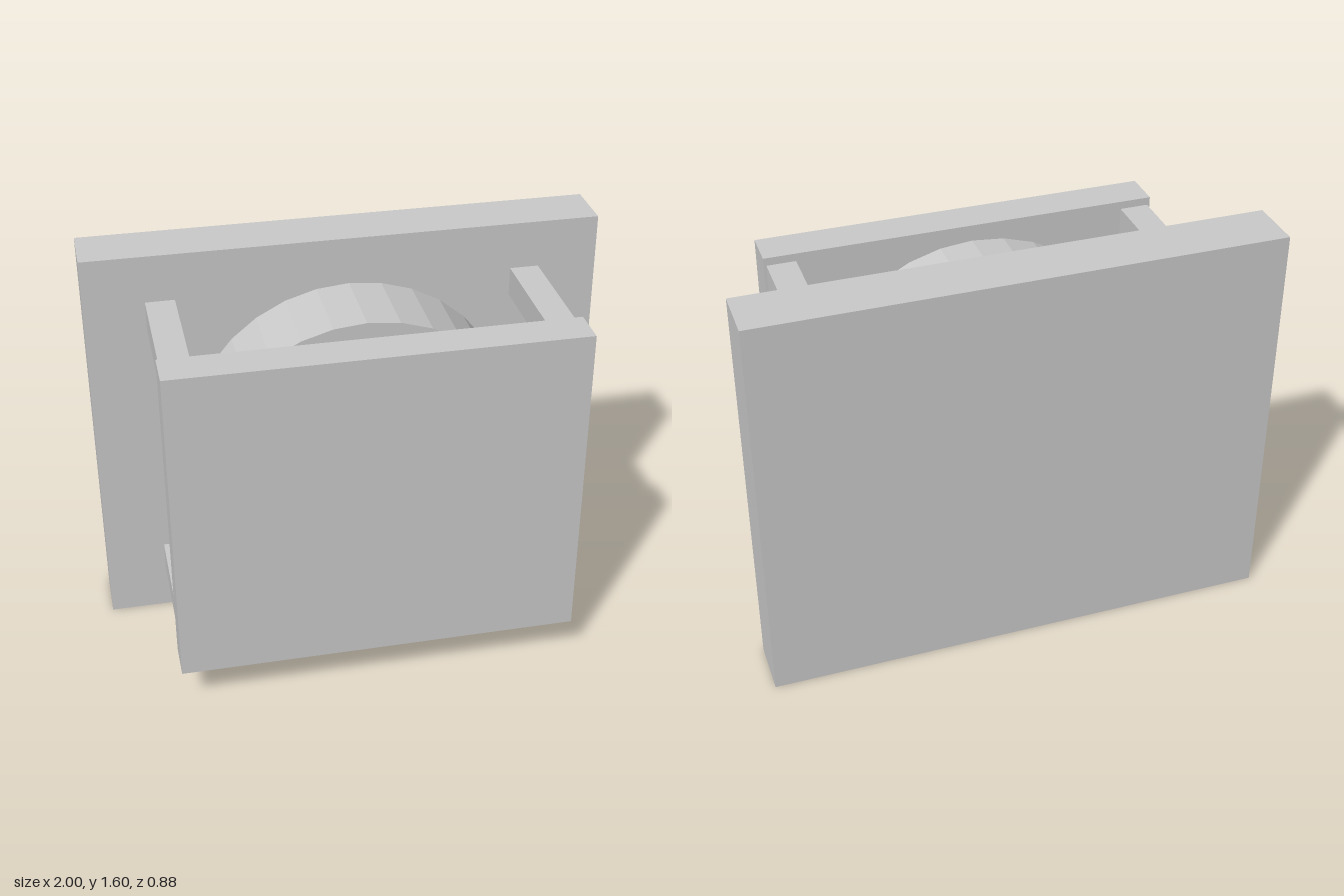
import * as THREE from 'three';

export function createModel() {
  const group = new THREE.Group();
  const material = new THREE.MeshStandardMaterial({ color: 0xcccccc, flatShading: true });
  const midY = 0.8;

  const add = (name, geometry, x, y, z) => {
    const mesh = new THREE.Mesh(geometry, material);
    mesh.name = name;
    mesh.position.set(x, y, z);
    group.add(mesh);
    return mesh;
  };

  // Large back plate and smaller front plate
  add('backPlate', new THREE.BoxGeometry(2, 1.6, 0.22), 0, midY, -0.33);
  add('frontPlate', new THREE.BoxGeometry(1.556, 1.288, 0.152), 0, midY, 0.362);

  // Faceted disc held between the plates, axis along z
  const disc = new THREE.CylinderGeometry(0.644, 0.644, 0.332, 32).rotateX(Math.PI / 2);
  add('disc', disc, 0, midY, 0.006);

  // Four corner posts joining the plates
  const post = new THREE.BoxGeometry(0.113, 0.113, 0.506);
  for (const [side, sx] of [['Left', 1], ['Right', -1]]) {
    for (const [level, sy] of [['upper', 1], ['lower', -1]]) {
      add(`${level}${side}Post`, post, sx * 0.711, midY + sy * 0.556, 0.033);
    }
  }

  return group;
}
